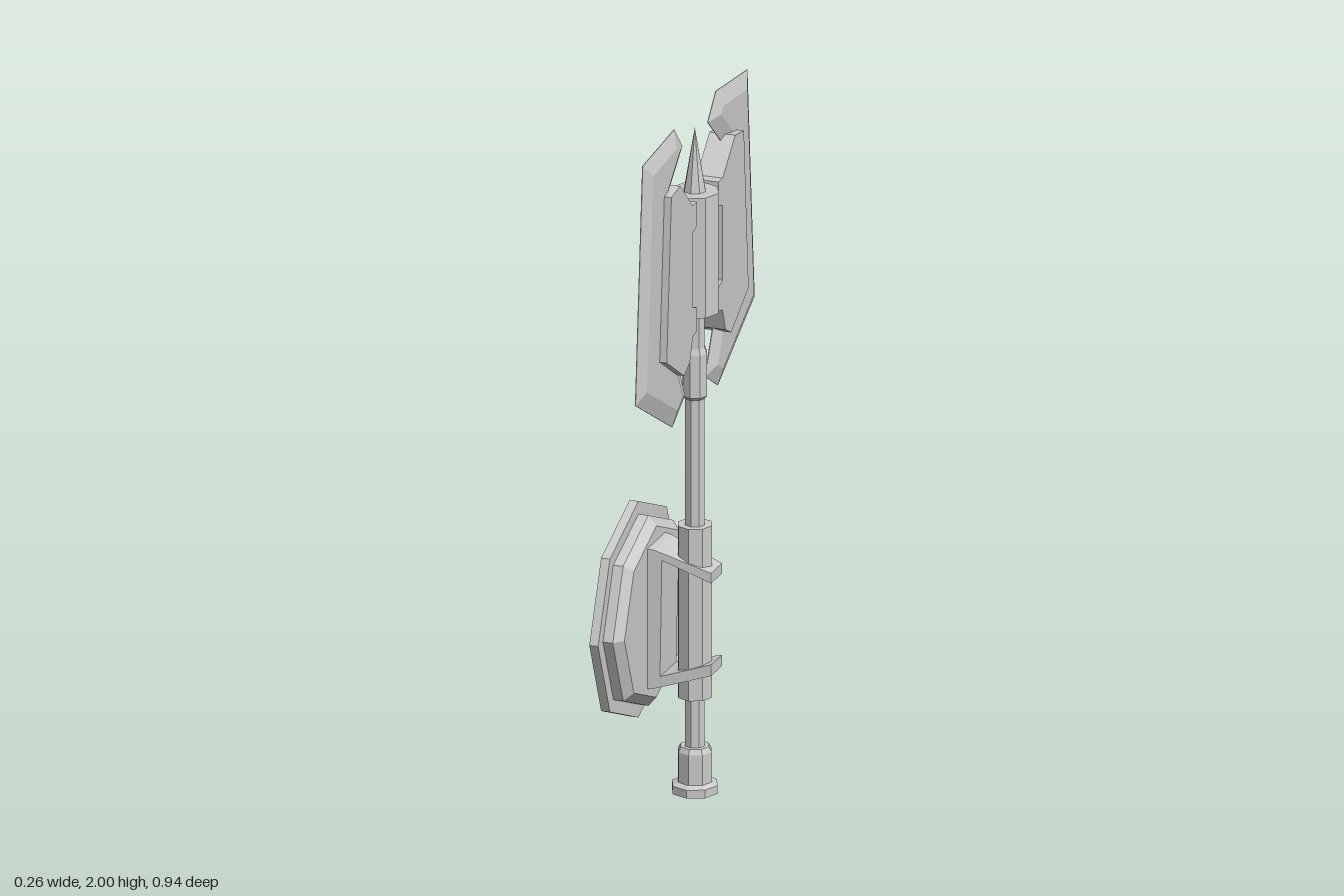
import * as THREE from 'three';

const AXIS_X = 0.058; // shaft line

export function createModel() {
  const model = new THREE.Group();
  model.name = 'doubleBladedAxe';
  const mat = new THREE.MeshStandardMaterial({ color: 0xcccccc, flatShading: true });

  const add = (parent, name, geometry) => {
    const mesh = new THREE.Mesh(geometry, mat);
    mesh.name = name;
    parent.add(mesh);
    return mesh;
  };
  // Eight-sided turned part from [radius, height] pairs, bottom to top
  const turned = (pts) => new THREE.LatheGeometry(pts.map(([r, y]) => new THREE.Vector2(r, y)), 8);
  const shapeOf = (pts) => new THREE.Shape(pts.map(([a, b]) => new THREE.Vector2(a, b)));

  // Shaft parts
  const weapon = new THREE.Group();
  weapon.name = 'weapon';
  weapon.position.x = AXIS_X;
  model.add(weapon);
  add(weapon, 'pommel', turned([[0, 0], [0.067, 0], [0.067, 0.024], [0.05, 0.032], [0.05, 0.12], [0.042, 0.135], [0, 0.135]]));
  add(weapon, 'shaft', turned([[0, 0.1], [0.029, 0.1], [0.029, 1.45], [0, 1.45]]));
  add(weapon, 'grip', turned([[0, 0.28], [0.05, 0.28], [0.05, 0.785], [0, 0.785]]));
  add(weapon, 'collar', turned([[0.028, 1.155], [0.036, 1.165], [0.036, 1.29], [0.028, 1.31]]));
  add(weapon, 'head', turned([[0, 1.412], [0.07, 1.412], [0.07, 1.765], [0, 1.765]]));
  add(weapon, 'spike', turned([[0, 1.76], [0.033, 1.76], [0, 1.95]]));

  // Outlines in (distance from shaft, height)
  const bladeOutline = [
    [0.18, 1.13], [0.47, 1.293], [0.413, 1.978], [0.164, 2.0], [0.1, 1.93],
    [0.206, 1.838], [0.18, 1.75], [0.16, 1.42], [0.136, 1.304], [0.08, 1.19],
  ];
  const plateOutline = [
    [0.186, 1.288], [0.323, 1.373], [0.286, 1.847], [0.217, 1.857], [0.118, 1.765],
    [0.085, 1.765], [0.085, 1.695], [0.117, 1.685], [0.117, 1.465],
    [0.085, 1.455], [0.085, 1.385], [0.117, 1.378], [0.14, 1.312],
  ];
  const half = 0.017;
  const bevel = 0.045;

  for (const side of ['front', 'back']) {
    const wing = new THREE.Group();
    wing.name = side + 'Wing';
    wing.rotation.y = side === 'front' ? 0 : Math.PI;
    weapon.add(wing);

    // Blade ground to an edge all round
    const blade = new THREE.ExtrudeGeometry(shapeOf(bladeOutline), {
      depth: 0.002, bevelThickness: half - 0.001, bevelSize: bevel, bevelOffset: -bevel, bevelSegments: 1,
    });
    blade.translate(0, 0, -0.001).rotateY(-Math.PI / 2);
    add(wing, 'blade', blade);

    // Thick cheek plate carrying the blade
    const plate = new THREE.ExtrudeGeometry(shapeOf(plateOutline), { depth: 0.076, bevelEnabled: false });
    plate.translate(0, 0, -0.038).rotateY(-Math.PI / 2);
    add(wing, 'cheekPlate', plate);

    // Pins joining plate to head
    for (const y of [1.713, 1.437]) {
      const pin = new THREE.CylinderGeometry(0.018, 0.018, 0.05, 8).rotateX(Math.PI / 2);
      add(wing, 'pin', pin).position.set(0, y, 0.07);
      const washer = new THREE.CylinderGeometry(0.028, 0.028, 0.008, 8).rotateX(Math.PI / 2);
      add(wing, 'washer', washer).position.set(0, y, 0.083);
    }
  }

  // Stepped octagonal shield facing -x
  const shield = turned([
    [0, -0.134], [0.318, -0.134], [0.318, -0.108], [0.28, -0.108], [0.28, -0.079], [0.252, -0.055], [0, -0.055],
  ]).rotateZ(-Math.PI / 2);
  add(model, 'shield', shield).position.y = 0.512;

  // C-shaped bracket, its arms narrowing towards their ends
  const bracket = new THREE.ExtrudeGeometry(shapeOf([
    [-0.06, 0.308], [-0.035, 0.312], [0.122, 0.36], [0.122, 0.393], [-0.02, 0.348],
    [-0.015, 0.69], [0.122, 0.632], [0.122, 0.662], [-0.035, 0.718], [-0.06, 0.722],
  ]), { depth: 2, bevelEnabled: false });
  bracket.translate(0, 0, -1);
  const p = bracket.attributes.position;
  for (let i = 0; i < p.count; i++) {
    const t = (p.getX(i) + 0.06) / 0.182;
    p.setZ(i, p.getZ(i) * THREE.MathUtils.lerp(0.072, 0.043, t));
  }
  bracket.computeVertexNormals();
  add(model, 'shieldBracket', bracket);

  return model;
}
